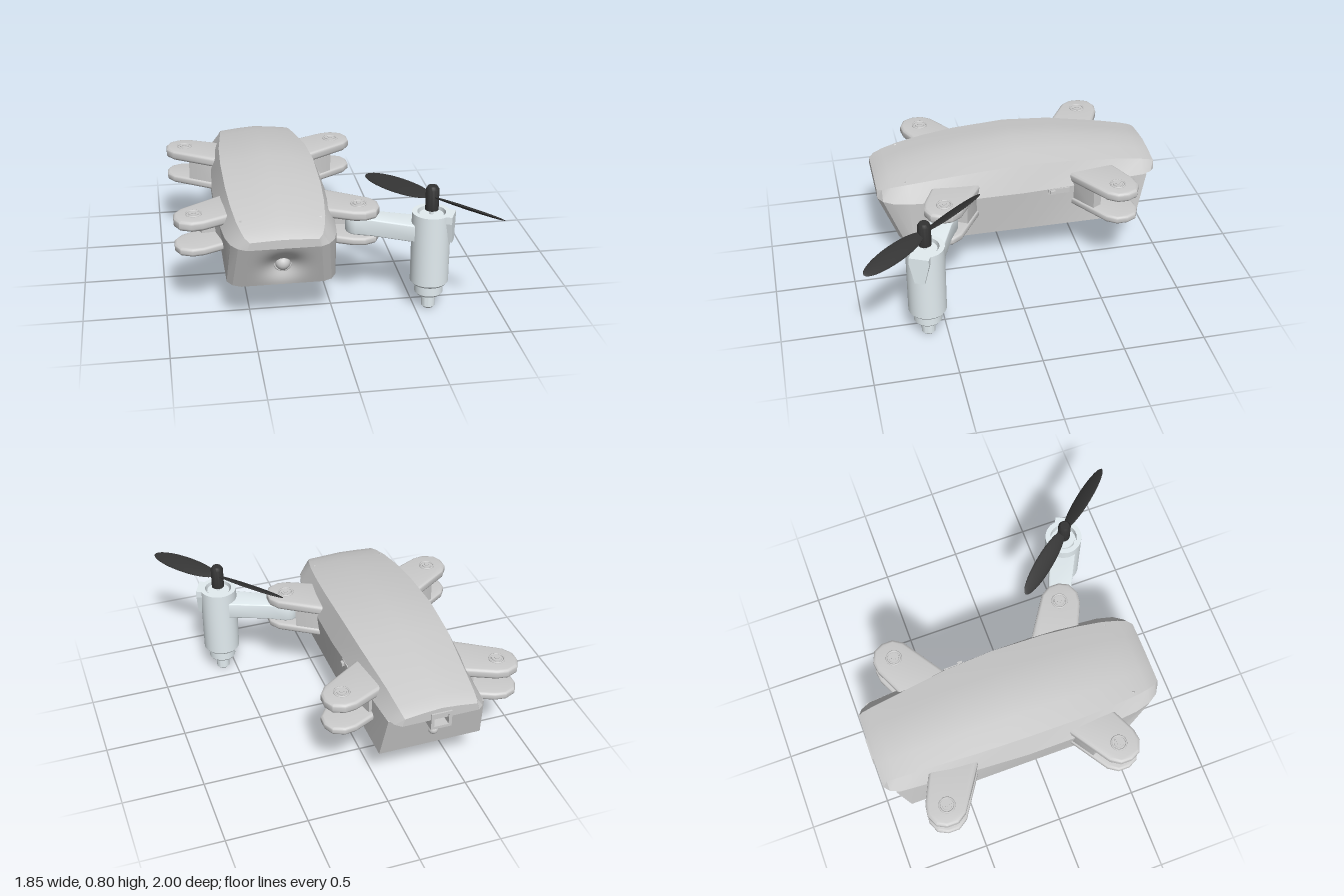
import * as THREE from 'three';
import { toCreasedNormals } from 'three/addons/utils/BufferGeometryUtils.js';

const CX = -0.315; // body centre line
const SEAM = 0.55;
const grey = new THREE.MeshStandardMaterial({ color: 0xcccccc });
const pale = new THREE.MeshStandardMaterial({ color: 0xe3edf1 });
const black = new THREE.MeshStandardMaterial({ color: 0x333333 });

function add(parent, name, geometry, material, x = 0, y = 0, z = 0) {
  const mesh = new THREE.Mesh(geometry, material);
  mesh.name = name;
  mesh.position.set(x, y, z);
  parent.add(mesh);
  return mesh;
}

// Skin closed loops (counterclockwise seen from +z), ordered back to front
function loft(loops, capFront = true) {
  const pos = [], n = loops[0].length;
  const tri = (a, b, c) => pos.push(...a, ...b, ...c);
  for (let i = 0; i < loops.length - 1; i++) {
    for (let j = 0; j < n; j++) {
      const k = (j + 1) % n;
      const a = loops[i][j], b = loops[i][k], c = loops[i + 1][j], d = loops[i + 1][k];
      tri(a, b, c);
      tri(b, d, c);
    }
  }
  const back = loops[0], front = loops[loops.length - 1];
  for (let j = 1; j < n - 1; j++) {
    tri(back[0], back[j + 1], back[j]);
    if (capFront) tri(front[0], front[j], front[j + 1]);
  }
  const g = new THREE.BufferGeometry();
  g.setAttribute('position', new THREE.Float32BufferAttribute(pos, 3));
  return toCreasedNormals(g, 0.45);
}

// Flat outline in x/z, extruded downward from y = 0 with a soft edge
function slab(points, height, bevel = 0) {
  const shape = new THREE.Shape(points.map(p => new THREE.Vector2(p[0], p[1])));
  const g = new THREE.ExtrudeGeometry(shape, {
    depth: height - 2 * bevel, bevelEnabled: bevel > 0, bevelThickness: bevel,
    bevelSize: bevel, bevelOffset: -bevel, bevelSegments: 3,
  });
  g.translate(0, 0, bevel);
  return toCreasedNormals(g.rotateX(Math.PI / 2), 0.6);
}

// Body stations: z, seam half width, shoulder half width, shoulder y, ridge y
const stations = [
  [-0.99, 0.24, 0.225, 0.60, 0.625], [-0.96, 0.275, 0.232, 0.615, 0.638],
  [-0.9, 0.3, 0.238, 0.63, 0.655], [-0.75, 0.312, 0.25, 0.658, 0.69],
  [-0.4, 0.338, 0.283, 0.705, 0.742], [-0.1, 0.355, 0.295, 0.72, 0.762],
  [0.24, 0.355, 0.292, 0.70, 0.738], [0.45, 0.345, 0.28, 0.677, 0.71],
  [0.62, 0.33, 0.262, 0.652, 0.68], [0.72, 0.305, 0.243, 0.632, 0.652],
  [0.78, 0.265, 0.225, 0.615, 0.628], [0.81, 0.215, 0.2, 0.598, 0.606],
];

function buildBody(group) {
  const body = new THREE.Group();
  body.name = 'body';
  body.position.x = CX;
  group.add(body);

  add(body, 'upperShell', loft(stations.map(([z, s, t, ys, r]) => {
    const q = ys + (r - ys) * 0.6;
    return [[-s, SEAM, z], [s, SEAM, z], [t, ys, z], [t / 2, q, z], [0, r, z], [-t / 2, q, z], [-t, ys, z]];
  })), grey);

  // Lower shell tapers downward at both ends
  const lower = stations.slice(2).map(([z, s]) => {
    const zt = z === -0.9 ? -0.925 : z;
    const zb = THREE.MathUtils.mapLinear(zt, -0.925, 0.81, -0.86, 0.69);
    const b = Math.min(0.325, s + 0.03);
    return [[-b, 0.26, zb], [b, 0.26, zb], [s, SEAM, zt], [-s, SEAM, zt]];
  });
  add(body, 'lowerShell', loft(lower, false), grey);

  // Sloping nose with a dished camera recess
  const nose = new THREE.PlaneGeometry(2, 1, 28, 20);
  const p = nose.attributes.position;
  for (let i = 0; i < p.count; i++) {
    const u = p.getX(i), v = p.getY(i) + 0.5;
    const x = u * THREE.MathUtils.lerp(0.245, 0.215, v), y = 0.26 + 0.29 * v;
    const dent = 0.06 * Math.exp(-(x * x + (y - 0.405) ** 2) / 0.012) * Math.sin(Math.PI * v) * (1 - u ** 4);
    p.setXYZ(i, x, y, THREE.MathUtils.lerp(0.69, 0.81, v) - dent);
  }
  nose.computeVertexNormals();
  add(body, 'nose', nose, grey);
  add(body, 'cameraLens', new THREE.SphereGeometry(0.045, 24, 16), grey, 0, 0.405, 0.695);
  add(body, 'cameraRing', new THREE.TorusGeometry(0.05, 0.007, 8, 28), grey, 0, 0.405, 0.695);
  add(body, 'rearLamp', new THREE.SphereGeometry(0.03, 20, 14), grey, 0, 0.39, -0.892);

  // Charging port frame
  const frame = new THREE.Shape([[-0.065, 0.485], [0.065, 0.485], [0.065, 0.595], [-0.065, 0.595]].map(q => new THREE.Vector2(...q)));
  frame.holes.push(new THREE.Path([[-0.045, 0.503], [-0.045, 0.577], [0.045, 0.577], [0.045, 0.503]].map(q => new THREE.Vector2(...q))));
  add(body, 'chargingPort', new THREE.ExtrudeGeometry(frame, { depth: 0.08, bevelEnabled: false }), grey, 0, 0, -1);

  // Side switch with its slot, and two small lamps on the shoulders
  add(body, 'sideSlot', new THREE.BoxGeometry(0.02, 0.035, 0.14), grey, 0.338, 0.53, -0.33);
  add(body, 'sideSwitch', new THREE.BoxGeometry(0.03, 0.022, 0.03), grey, 0.35, 0.53, -0.29);
  for (const s of [-1, 1]) {
    const lamp = add(body, 'shoulderLamp', new THREE.ConeGeometry(0.03, 0.02, 3).toNonIndexed(), grey, s * 0.235, 0.65, 0.63);
    lamp.geometry.computeVertexNormals();
    lamp.rotation.set(0.2, Math.PI / 6, -s * 0.25);
  }
}

// Hinge bracket outlines relative to the hinge, x outward, z toward the near end
const plate = [[-0.26, 0.02], [-0.2, 0.05], [-0.05, 0.12], [0.02, 0.13], [0.09, 0.1], [0.12, 0.04], [0.12, -0.03], [0.08, -0.09], [-0.18, -0.26], [-0.26, -0.26]];
const web = [[-0.26, 0.02], [-0.16, 0.03], [-0.13, -0.1], [-0.05, -0.09], [-0.02, -0.145], [-0.18, -0.25], [-0.26, -0.25]];

function buildBracket(group, sx, sz) {
  const bracket = new THREE.Group();
  bracket.name = (sz > 0 ? 'front' : 'rear') + (sx > 0 ? 'Left' : 'Right') + 'Bracket';
  bracket.position.set(CX + sx * 0.495, 0, sz > 0 ? 0.43 : -0.67);
  group.add(bracket);
  const flip = pts => pts.map(([x, z]) => [x * sx, z * sz]);
  add(bracket, 'upperPlate', slab(flip(plate), 0.062, 0.018), grey, 0, 0.63);
  add(bracket, 'lowerPlate', slab(flip(plate), 0.05, 0.016), grey, 0, 0.457);
  add(bracket, 'hingeWall', slab(flip(web), 0.16), grey, 0, 0.595);
  const ring = add(bracket, 'screwRing', new THREE.TorusGeometry(0.045, 0.006, 8, 28), grey, 0, 0.63, 0);
  ring.rotation.x = Math.PI / 2;
  add(bracket, 'screwHead', new THREE.CylinderGeometry(0.03, 0.032, 0.012, 20), grey, 0, 0.63, 0);
  add(bracket, 'screwSocket', new THREE.CylinderGeometry(0.016, 0.016, 0.006, 6), grey, 0, 0.637, 0);
}

function buildArm(group) {
  const arm = new THREE.Group();
  arm.name = 'arm';
  arm.position.set(0.18, 0, 0.43);
  arm.rotation.y = -Math.atan2(0.185, 0.405); // local x runs from hinge to motor
  group.add(arm);
  const reach = 0.445;
  const outline = [[reach - 0.05, -0.085], [reach - 0.05, 0.085], [0.1, 0.07]];
  for (let i = 0; i <= 10; i++) {
    const a = Math.PI / 2 + Math.PI * i / 10;
    outline.push([0.08 * Math.cos(a), 0.08 * Math.sin(a)]);
  }
  outline.push([0.1, -0.07]);
  add(arm, 'armBeam', slab(outline, 0.108, 0.008), pale, 0, 0.565);

  // Stepped housing, open at the top around the motor
  const profile = [[0, 0], [0.032, 0], [0.042, 0.012], [0.042, 0.095], [0.075, 0.095], [0.086, 0.108],
    [0.086, 0.172], [0.105, 0.172], [0.116, 0.185], [0.116, 0.635], [0.085, 0.635], [0.085, 0.58], [0, 0.58]];
  const housing = new THREE.LatheGeometry(profile.map(q => new THREE.Vector2(...q)), 36);
  add(arm, 'motorHousing', toCreasedNormals(housing, 0.5), pale, reach);
  add(arm, 'motorCan', new THREE.CylinderGeometry(0.072, 0.072, 0.05, 32), pale, reach, 0.595);
  add(arm, 'motorShaft', new THREE.CylinderGeometry(0.012, 0.012, 0.1, 12), pale, reach, 0.65);

  // Tapered clip on the outer side of the housing
  const clip = new THREE.Shape([[-0.06, 0.635], [-0.06, 0.59], [-0.03, 0.46], [0.03, 0.46], [0.06, 0.59], [0.06, 0.635]].map(q => new THREE.Vector2(...q)));
  const clipGeometry = new THREE.ExtrudeGeometry(clip, { depth: 0.05, bevelEnabled: false }).rotateY(Math.PI / 2);
  add(arm, 'housingClip', clipGeometry, pale, reach + 0.085);
}

function buildPropeller(group) {
  const propeller = new THREE.Group();
  propeller.name = 'propeller';
  propeller.position.set(0.585, 0, 0.615);
  propeller.rotation.y = -0.868;
  group.add(propeller);
  const hub = [[0, 0.65], [0.04, 0.65], [0.04, 0.78], [0.028, 0.8], [0, 0.8]];
  add(propeller, 'hub', toCreasedNormals(new THREE.LatheGeometry(hub.map(q => new THREE.Vector2(...q)), 24), 0.6), black);
  for (let i = 0; i < 2; i++) {
    const pivot = new THREE.Group();
    pivot.name = 'bladePivot';
    pivot.rotation.y = i * Math.PI;
    propeller.add(pivot);
    const blade = add(pivot, 'blade', new THREE.SphereGeometry(1, 32, 20).scale(0.25, 0.01, 0.056), black, 0.257, 0.73, 0);
    blade.rotation.x = -0.5;
  }
}

export function createModel() {
  const model = new THREE.Group();
  model.name = 'foldingDrone';
  buildBody(model);
  for (const sx of [-1, 1]) for (const sz of [-1, 1]) buildBracket(model, sx, sz);
  buildArm(model);
  buildPropeller(model);
  return model;
}
